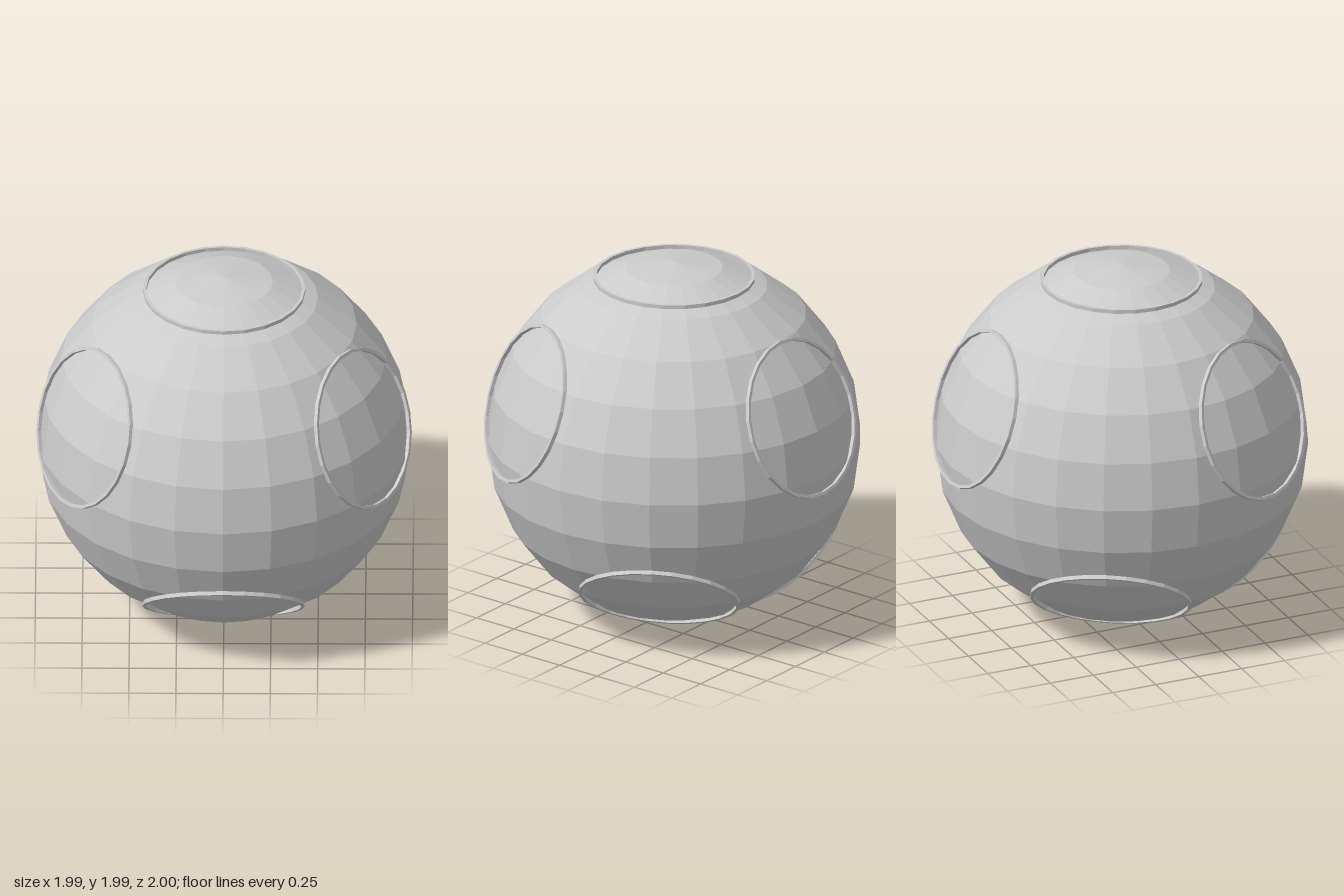
import * as THREE from 'three';

const RADIUS = 0.994;
const CENTER = new THREE.Vector3(0, RADIUS, 0.006);

export function createModel() {
  const group = new THREE.Group();
  const material = new THREE.MeshStandardMaterial({ color: 0xcccccc, flatShading: true });

  // Faceted ball
  const ball = new THREE.Mesh(new THREE.SphereGeometry(RADIUS, 24, 12), material);
  ball.name = 'ball';
  ball.position.copy(CENTER);
  group.add(ball);

  // Thin hoop with a square section, shared by all rings
  const inner = 0.413, outer = 0.43, half = 0.0105;
  const section = [[inner, -half], [outer, -half], [outer, half], [inner, half], [inner, -half]]
    .map(([x, y]) => new THREE.Vector2(x, y));
  const ringGeometry = new THREE.LatheGeometry(section, 24);

  // polar: angle down from the top; azimuth: angle around y, 0 at the front
  const addRing = (name, polar, azimuth) => {
    const ring = new THREE.Mesh(ringGeometry, material);
    ring.name = name;
    ring.rotation.set(THREE.MathUtils.degToRad(polar), THREE.MathUtils.degToRad(azimuth), 0, 'YXZ');
    const normal = new THREE.Vector3(0, 1, 0).applyEuler(ring.rotation);
    ring.position.copy(CENTER).addScaledVector(normal, 0.906);
    group.add(ring);
  };

  // One ring on top, three around the upper half, three around the lower half
  addRing('topRing', 0, 0);
  for (let i = 0; i < 3; i++) {
    addRing(`upperRing${i + 1}`, 70, 60 + i * 120);
    addRing(`lowerRing${i + 1}`, 140, i * 120);
  }
  return group;
}
